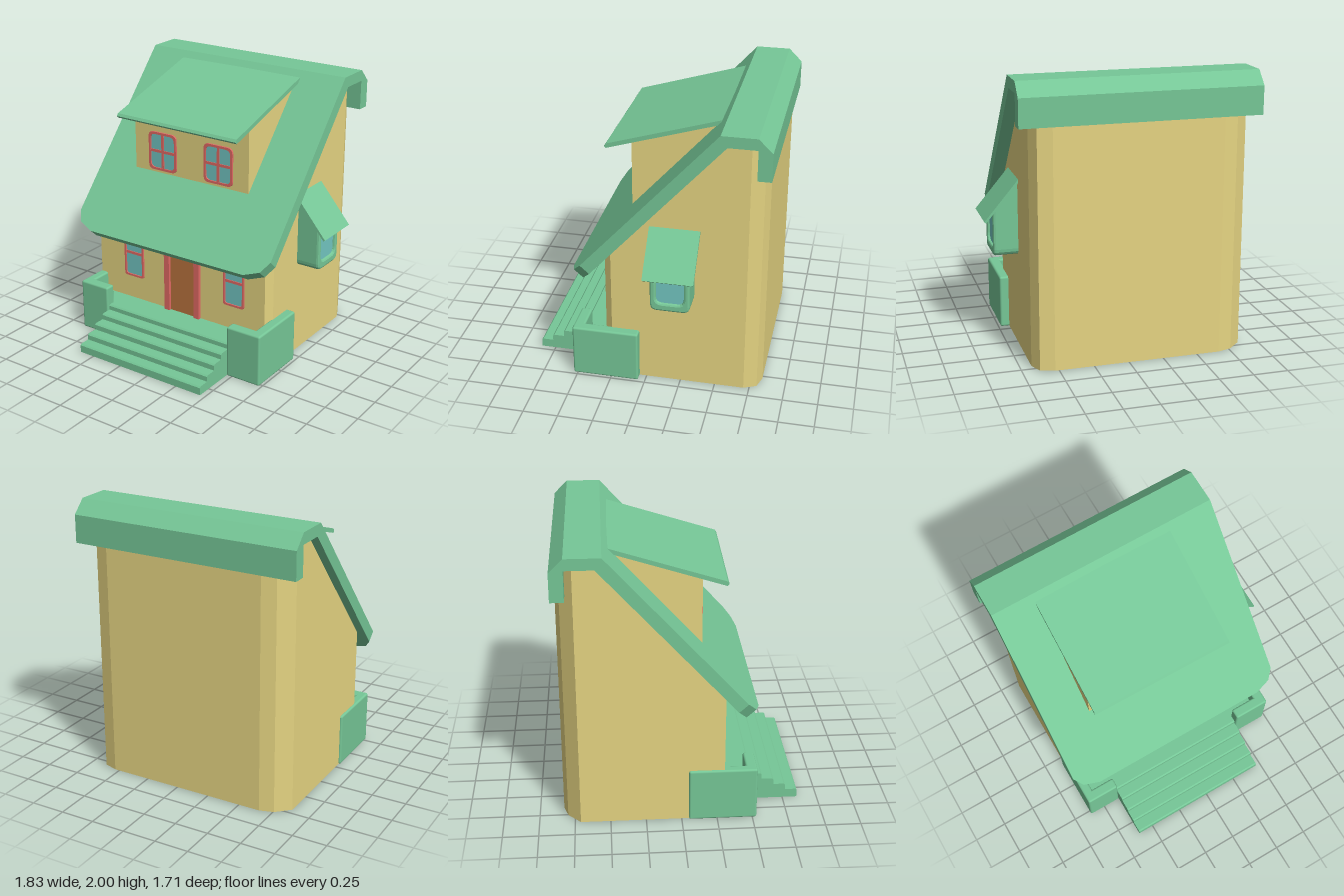
import * as THREE from 'three';
import { RoundedBoxGeometry } from 'three/addons/geometries/RoundedBoxGeometry.js';

const mat = (name, color) => new THREE.MeshStandardMaterial({ name, color });

export function createModel() {
  const house = new THREE.Group();
  house.name = 'house';
  const green = mat('roof green', 0x76c797);
  const yellow = mat('wall yellow', 0xe6d582);
  const red = mat('frame red', 0xe26a65);
  const glass = mat('window glass', 0x73c6c2);
  const brown = mat('door brown', 0xbc753f);
  const grey = mat('floor grey', 0xdcdcdc);
  const purple = mat('floor purple', 0x4a24a8);
  const amber = mat('floor amber', 0xd8a010);
  const orange = mat('floor orange', 0xd8581c);

  const add = (name, geo, material, parent = house) => {
    const m = new THREE.Mesh(geo, material);
    m.name = name;
    parent.add(m);
    return m;
  };
  // Box given by its limits, with optional rounded edges
  const box = (name, [x0, x1], [y0, y1], [z0, z1], material, r = 0, parent = house) => {
    const s = [x1 - x0, y1 - y0, z1 - z0];
    const geo = r ? new RoundedBoxGeometry(...s, 2, r) : new THREE.BoxGeometry(...s);
    geo.translate((x0 + x1) / 2, (y0 + y1) / 2, (z0 + z1) / 2);
    return add(name, geo, material, parent);
  };
  const shapeOf = (pts) => new THREE.Shape(pts.map(([a, b]) => new THREE.Vector2(a, b)));
  const extrude = (shape, depth) =>
    new THREE.ExtrudeGeometry(shape, { depth, bevelEnabled: false, curveSegments: 4 });
  // Profile of [z, y] points swept from x0 to x1
  const sideProfile = (pts, x0, x1) =>
    extrude(shapeOf(pts.map(([z, y]) => [-z, y]).reverse()), x1 - x0)
      .rotateY(Math.PI / 2).translate(x0, 0, 0);
  // Rounded rectangle; rt is the radius of the top corners
  const rounded = (x0, x1, y0, y1, r, rt = r) => {
    const s = new THREE.Shape();
    s.moveTo(x0 + r, y0);
    s.lineTo(x1 - r, y0);
    s.quadraticCurveTo(x1, y0, x1, y0 + r);
    s.lineTo(x1, y1 - rt);
    if (rt) s.quadraticCurveTo(x1, y1, x1 - rt, y1);
    s.lineTo(x0 + rt, y1);
    if (rt) s.quadraticCurveTo(x0, y1, x0, y1 - rt);
    s.lineTo(x0, y0 + r);
    s.quadraticCurveTo(x0, y0, x0 + r, y0);
    return s;
  };

  // Walls: plan outline raised to the underside of the roof
  const plan = [[-0.855, 0.3], [0.63, 0.3], [0.67, 0.25], [0.67, -0.563], [0.67, -0.71],
    [0.63, -0.8], [0.53, -0.83], [-0.66, -0.83], [-0.76, -0.8], [-0.855, -0.71], [-0.855, -0.563]];
  const planShape = shapeOf(plan.map(([x, z]) => [x, -z]));
  const underRoof = (z) => Math.min(1.925, 0.775 + (0.47 - z) * 1.114);
  const walls = extrude(planShape, 1).rotateX(-Math.PI / 2);
  const wp = walls.attributes.position;
  for (let i = 0; i < wp.count; i++) {
    wp.setY(i, wp.getY(i) > 0.5 ? underRoof(wp.getZ(i)) : 0.004);
  }
  walls.computeVertexNormals();
  add('walls', walls, yellow);

  // Floor with coloured patches on its underside: x, z, width, depth, colour
  add('floor', extrude(planShape, 0.003).rotateX(-Math.PI / 2)
    .scale(0.995, 1, 0.995).translate(0, 0.002, 0), grey);
  [[0.56, -0.28, 0.19, 0.36, red], [0.45, -0.48, 0.2, 0.17, amber], [0.52, -0.68, 0.2, 0.12, red],
    [0.08, -0.73, 0.5, 0.17, red], [-0.1, -0.58, 0.2, 0.1, green], [-0.44, -0.66, 0.36, 0.2, green],
    [-0.73, -0.62, 0.2, 0.2, purple], [-0.17, -0.18, 0.14, 0.4, purple],
    [-0.04, -0.44, 0.12, 0.1, purple], [-0.32, -0.34, 0.1, 0.08, purple],
    [0.08, -0.34, 0.1, 0.16, glass], [0.02, 0.02, 0.14, 0.14, green],
    [0.24, -0.06, 0.14, 0.12, red], [0.24, 0.05, 0.14, 0.06, orange],
    [-0.68, -0.36, 0.26, 0.06, orange], [-0.68, -0.27, 0.26, 0.06, purple],
    [-0.68, -0.18, 0.26, 0.06, red], [-0.68, -0.06, 0.2, 0.06, orange]].forEach(([x, z, w, d, m]) =>
    box('floorPatch', [x - w / 2, x + w / 2], [0, 0.003], [z - d / 2, z + d / 2], m));

  // Main roof: sloping slab with trimmed front corners, and a folded ridge
  const half = 0.84, mid = -0.08;
  const slab = extrude(shapeOf([[-half, 0], [half, 0], [half, 1.438], [half - 0.05, 1.525],
    [half - 0.165, 1.572], [-half + 0.165, 1.572], [-half + 0.05, 1.525], [-half, 1.438]]), 0.088);
  const slope = add('roofSlope', slab.rotateX(Math.PI / 2), green);
  slope.position.set(mid, 2, -0.515);
  slope.rotation.x = Math.atan2(1.17, 1.05);
  add('roofRidge', sideProfile([[-0.515, 2], [-0.76, 2], [-0.855, 1.905], [-0.855, 1.705],
    [-0.76, 1.705], [-0.76, 1.92], [-0.563, 1.92]].reverse(), mid - half, mid + half), green);

  // Dormer, its roof sitting very slightly askew
  add('dormerWalls', sideProfile([[-0.45, 1.85], [0.155, 1.2], [0.155, 1.74], [-0.45, 1.93]],
    -0.605, 0.39), yellow);
  const dormerRoof = add('dormerRoof', sideProfile([[-0.475, 1.925], [0.328, 1.674],
    [0.34, 1.688], [0.328, 1.707], [-0.475, 1.957]], -0.628, 0.41), green);
  dormerRoof.rotation.y = -0.015;

  // Windows facing the front
  const frontWindow = (name, [x0, x1], [y0, y1], z, r, t, upright) => {
    const g = new THREE.Group();
    g.name = name;
    const ring = rounded(x0, x1, y0, y1, r);
    ring.holes.push(rounded(x0 + t, x1 - t, y0 + t, y1 - t, r));
    add('windowFrame', extrude(ring, 0.014).translate(0, 0, z), red, g);
    add('windowPane', extrude(rounded(x0 + t / 2, x1 - t / 2, y0 + t / 2, y1 - t / 2, r), 0.005)
      .translate(0, 0, z), glass, g);
    const cx = (x0 + x1) / 2, cy = (y0 + y1) / 2, b = 0.01;
    box('crossBar', [x0 + t / 2, x1 - t / 2], [cy - b, cy + b], [z, z + 0.011], red, 0, g);
    if (upright) box('uprightBar', [cx - b, cx + b], [y0 + t / 2, y1 - t / 2], [z, z + 0.012], red, 0, g);
    house.add(g);
  };
  for (const x of [-0.475, 0.015]) {
    frontWindow('dormerWindow', [x, x + 0.245], [1.275, 1.565], 0.154, 0.04, 0.017, true);
  }
  for (const x of [-0.617, 0.283]) {
    frontWindow('frontWindow', [x, x + 0.177], [0.43, 0.815], 0.299, 0.02, 0.015, false);
  }

  // Front door
  box('doorPanel', [-0.2, 0.04], [0.24, 0.73], [0.29, 0.306], brown);
  box('doorJamb', [-0.235, -0.19], [0.24, 0.8], [0.29, 0.327], red);
  box('doorJamb', [0.032, 0.077], [0.24, 0.8], [0.29, 0.327], red);
  box('doorLintel', [-0.19, 0.032], [0.72, 0.8], [0.29, 0.327], red);

  // Side bay window with bevelled edges, its sloping top tucked under a small roof
  const bayShape = rounded(0.065, 0.345, 0.69, 1.1, 0.05, 0);
  bayShape.holes.push(rounded(0.108, 0.302, 0.75, 0.98, 0.045));
  const bay = new THREE.ExtrudeGeometry(bayShape, { depth: 0.18, curveSegments: 4, bevelSegments: 2,
    bevelThickness: 0.018, bevelSize: 0.014, bevelOffset: -0.014 })
    .rotateY(Math.PI / 2).translate(0.647, 0, 0);
  const bp = bay.attributes.position;
  for (let i = 0; i < bp.count; i++) {
    if (bp.getY(i) > 1.05) bp.setY(i, 1.228 - (bp.getX(i) - 0.67) * 1.19);
  }
  bay.computeVertexNormals();
  add('bayWindow', bay, green);
  add('bayPane', extrude(rounded(0.1, 0.31, 0.742, 0.988, 0.045), 0.006)
    .rotateY(Math.PI / 2).translate(0.82, 0, 0), glass);
  add('bayRoof', extrude(shapeOf([[0.65, 1.245], [0.9, 0.95], [0.912, 0.96], [0.67, 1.247],
    [0.65, 1.27]]), 0.353).translate(0, 0, -0.38), green);

  // Porch floor and steps
  const stairs = [[0.28, 0], [0.855, 0]];
  [[0.855, 0.065], [0.768, 0.112], [0.682, 0.16], [0.595, 0.205], [0.51, 0.247]].forEach(([z, y], i, a) => {
    stairs.push([z, y - 0.01], [z - 0.01, y], [i < 4 ? a[i + 1][0] : 0.28, y]);
  });
  add('steps', sideProfile(stairs, -0.62, 0.46), green);
  box('porchFloor', [-0.84, -0.62], [0, 0.246], [0.28, 0.5], green);
  box('porchFloor', [0.46, 0.71], [0, 0.246], [0.28, 0.5], green);

  // Low porch walls, turning back along both sides of the house
  const wall = (name, x, z) => box(name, x, [0, 0.39], z, green, 0.015);
  wall('porchFrontWall', [-0.87, -0.62], [0.45, 0.53]);
  wall('porchFrontWall', [0.46, 0.735], [0.45, 0.53]);
  wall('porchSideWall', [-0.87, -0.8], [0.05, 0.53]);
  wall('porchSideWall', [0.655, 0.735], [0.05, 0.53]);

  return house;
}
